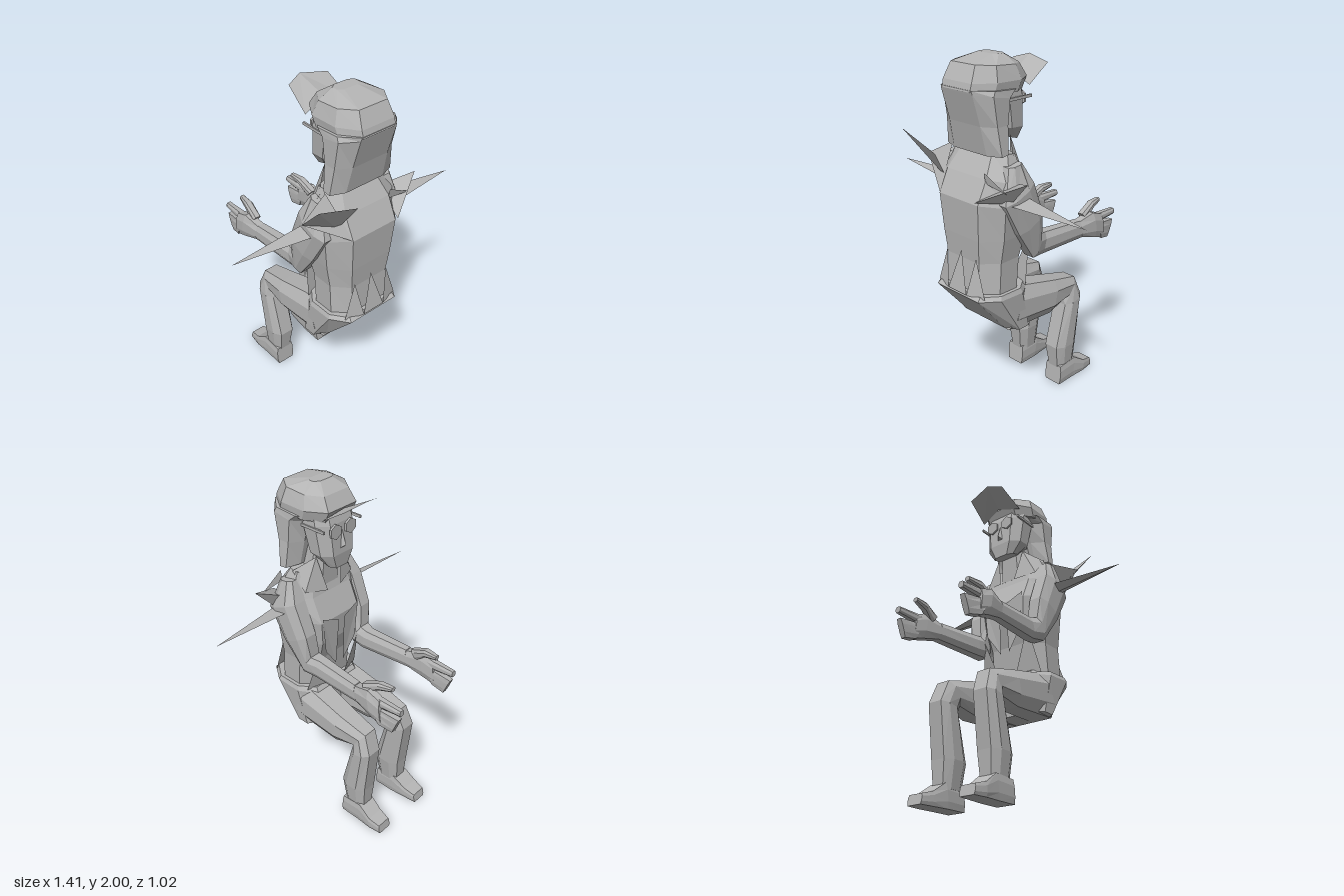
import * as THREE from 'three';

const grey = new THREE.MeshStandardMaterial({ color: 0xb4b4b4 });
grey.name = 'grey';
grey.flatShading = true;
grey.side = THREE.DoubleSide;

function meshFrom(name, tris) {
  const geo = new THREE.BufferGeometry();
  geo.setAttribute('position', new THREE.Float32BufferAttribute(tris.flat(2), 3));
  geo.computeVertexNormals();
  const mesh = new THREE.Mesh(geo, grey);
  mesh.name = name;
  return mesh;
}

// Capped loft through eight-sided rings [x0, x1, yA, zA, yB, zB]:
// A and B are the two edges of the ring in the side plane; k is the squareness.
function loft(name, rings, side = 1, k = 0.6) {
  const shape = [[-k, 0], [k, 0], [1, 0.28], [1, 0.72], [k, 1], [-k, 1], [-1, 0.72], [-1, 0.28]];
  const n = shape.length;
  const pts = rings.map(([x0, x1, ya, za, yb, zb]) => shape.map(([u, v]) => [
    side * ((x0 + x1) / 2 + u * (x1 - x0) / 2), ya + (yb - ya) * v, za + (zb - za) * v]));
  const tris = [];
  for (let r = 0; r + 1 < pts.length; r++) {
    for (let i = 0; i < n; i++) {
      const j = (i + 1) % n, a = pts[r], b = pts[r + 1];
      tris.push([a[i], a[j], b[j]], [a[i], b[j], b[i]]);
    }
  }
  const end = pts[pts.length - 1];
  for (let i = 1; i + 1 < n; i++) {
    tris.push([pts[0][0], pts[0][i + 1], pts[0][i]], [end[0], end[i], end[i + 1]]);
  }
  // Turn the faces outward
  let volume = 0;
  for (const [a, b, c] of tris) {
    volume += new THREE.Vector3(...a).dot(new THREE.Vector3(...b).cross(new THREE.Vector3(...c)));
  }
  if (volume < 0) tris.forEach((t) => t.reverse());
  return meshFrom(name, tris);
}

// Thin open sheet, a fan around the first point
function sheet(name, points) {
  const tris = [];
  for (let i = 1; i + 1 < points.length; i++) tris.push([points[0], points[i], points[i + 1]]);
  return meshFrom(name, tris);
}

// Spike: a base triangle drawn out to a tip
function spike(name, [a, b, c], tip) {
  return meshFrom(name, [[a, b, tip], [b, c, tip], [c, a, tip]]);
}

export function createModel() {
  const model = new THREE.Group();
  model.name = 'seatedFigure';

  // Trunk
  model.add(loft('torso', [
    [-0.2, 0.2, 0.78, 0.19, 0.78, 0.47],
    [-0.2, 0.2, 0.97, 0.17, 0.97, 0.46],
    [-0.22, 0.22, 1.1, 0.13, 1.1, 0.47],
    [-0.24, 0.24, 1.24, 0.12, 1.3, 0.48],
    [-0.24, 0.24, 1.38, 0.18, 1.42, 0.42],
    [-0.18, 0.18, 1.52, 0.22, 1.54, 0.34],
  ]));
  model.add(loft('pelvis', [
    [-0.22, 0.22, 0.54, 0.15, 0.54, 0.31],
    [-0.23, 0.23, 0.76, 0.15, 0.78, 0.51],
    [-0.22, 0.22, 0.79, 0.17, 0.8, 0.49],
  ], 1, 0.7));
  model.add(loft('neck', [
    [-0.1, 0.1, 1.42, 0.19, 1.5, 0.35],
    [-0.08, 0.08, 1.66, 0.18, 1.66, 0.33],
  ]));

  // Head
  model.add(loft('face', [
    [-0.07, 0.07, 1.55, 0.1, 1.58, 0.2],
    [-0.12, 0.12, 1.63, 0.09, 1.64, 0.26],
    [-0.135, 0.135, 1.8, 0.1, 1.8, 0.3],
    [-0.13, 0.13, 1.87, 0.12, 1.87, 0.3],
  ]));
  model.add(spike('nose', [[-0.02, 1.66, 0.095], [0.02, 1.66, 0.095], [0, 1.77, 0.1]], [0, 1.68, 0.07]));
  model.add(loft('hair', [
    [-0.2, 0.2, 1.54, 0.29, 1.53, 0.39],
    [-0.185, 0.185, 1.68, 0.26, 1.68, 0.42],
    [-0.185, 0.185, 1.8, 0.22, 1.84, 0.465],
    [-0.18, 0.18, 1.84, 0.16, 1.86, 0.47],
  ]));
  model.add(loft('cap', [
    [-0.165, 0.165, 1.82, 0.12, 1.85, 0.47],
    [-0.17, 0.17, 1.88, 0.09, 1.89, 0.46],
    [-0.145, 0.145, 1.95, 0.13, 1.97, 0.42],
    [-0.07, 0.07, 2.0, 0.2, 2.0, 0.27],
  ]));
  model.add(sheet('capBrim', [
    [-0.03, 1.955, -0.07], [0.125, 1.93, -0.04], [0.14, 1.84, 0.11],
    [0, 1.88, 0.08], [-0.14, 1.84, 0.11], [-0.12, 1.93, -0.04],
  ]));

  for (const s of [1, -1]) {
    const side = s > 0 ? 'left' : 'right';

    // Glasses
    const lens = new THREE.Mesh(new THREE.CylinderGeometry(0.042, 0.042, 0.012, 6), grey);
    lens.name = side + 'Lens';
    lens.rotation.x = Math.PI / 2;
    lens.position.set(s * 0.055, 1.765, 0.09);
    const temple = new THREE.Mesh(new THREE.BoxGeometry(0.01, 0.015, 0.16), grey);
    temple.name = side + 'GlassesArm';
    temple.position.set(s * 0.135, 1.785, 0.17);
    model.add(lens, temple);

    // Leg and shoe
    model.add(loft(side + 'Leg', [
      [0.01, 0.225, 0.78, 0.22, 0.54, 0.31],
      [0.05, 0.225, 0.715, -0.05, 0.52, -0.01],
      [0.07, 0.21, 0.67, -0.23, 0.55, -0.14],
      [0.08, 0.225, 0.55, -0.275, 0.52, -0.14],
      [0.08, 0.225, 0.25, -0.24, 0.25, -0.07],
      [0.1, 0.21, 0.1, -0.23, 0.1, -0.09],
    ], s));
    model.add(loft(side + 'Shoe', [
      [0.1, 0.22, 0.12, -0.09, 0, -0.08],
      [0.1, 0.22, 0.13, -0.22, 0, -0.2],
      [0.11, 0.225, 0.075, -0.3, 0, -0.3],
      [0.12, 0.215, 0.055, -0.37, 0, -0.38],
    ], s, 0.9));

    // Arm and hand
    model.add(loft(side + 'Arm', [
      [0.15, 0.24, 1.49, 0.25, 1.48, 0.34],
      [0.16, 0.285, 1.38, 0.2, 1.3, 0.4],
      [0.16, 0.28, 1.2, 0.13, 1.12, 0.3],
      [0.15, 0.26, 1.07, 0.12, 0.95, 0.18],
      [0.15, 0.24, 1.06, 0.07, 0.94, 0.1],
      [0.18, 0.25, 1.045, -0.2, 0.94, -0.22],
    ], s));
    model.add(loft(side + 'Hand', [
      [0.18, 0.25, 1.04, -0.2, 0.94, -0.22],
      [0.19, 0.265, 1.07, -0.3, 0.91, -0.33],
      [0.2, 0.26, 1.04, -0.38, 0.89, -0.4],
    ], s));
    model.add(loft(side + 'Forefinger', [
      [0.2, 0.25, 1.045, -0.34, 0.99, -0.34],
      [0.205, 0.24, 1.035, -0.51, 1.0, -0.51],
    ], s));
    model.add(loft(side + 'Fingers', [
      [0.2, 0.26, 0.99, -0.34, 0.89, -0.38],
      [0.205, 0.24, 0.97, -0.5, 0.87, -0.46],
    ], s, 0.8));
    model.add(loft(side + 'Thumb', [
      [0.18, 0.23, 1.07, -0.24, 1.02, -0.28],
      [0.17, 0.22, 1.115, -0.34, 1.07, -0.34],
      [0.17, 0.2, 1.115, -0.42, 1.09, -0.42],
    ], s));

    // Jacket lapel, hem points and collar
    model.add(sheet(side + 'Lapel', [
      [s * 0.14, 1.27, 0.115], [s * 0.02, 1.22, 0.11], [s * 0.03, 0.92, 0.13], [s * 0.12, 1.05, 0.12],
    ]));
    model.add(sheet(side + 'FrontHem', [[s * 0.16, 1.05, 0.13], [s * 0.06, 0.79, 0.155], [s * 0.2, 0.78, 0.2]]));
    model.add(sheet(side + 'BackHem', [[s * 0.11, 1, 0.47], [s * 0.07, 0.79, 0.51], [s * 0.18, 0.79, 0.48]]));
    model.add(sheet(side + 'Collar', [
      [s * 0.09, 1.6, 0.2], [s * 0.19, 1.53, 0.28], [s * 0.18, 1.42, 0.2], [s * 0.05, 1.4, 0.16],
    ]));
  }
  model.add(sheet('middleBackHem', [[0, 1.02, 0.47], [-0.07, 0.79, 0.51], [0.07, 0.79, 0.51]]));

  // Long side spikes
  model.add(spike('rightLongSpike', [[-0.22, 1.33, 0.24], [-0.22, 1.29, 0.29], [-0.26, 1.3, 0.33]], [-0.71, 1.31, 0.26]));
  model.add(spike('leftLongSpike', [[0.24, 1.32, 0.25], [0.24, 1.29, 0.31], [0.27, 1.3, 0.37]], [0.7, 1.29, 0.32]));

  // Torn shoulder plates
  model.add(sheet('rightShoulderPlate', [
    [-0.39, 1.6, 0.51], [-0.37, 1.44, 0.36], [-0.18, 1.35, 0.4], [-0.14, 1.51, 0.5],
  ]));
  model.add(sheet('rightShoulderFold', [[-0.37, 1.44, 0.36], [-0.2, 1.53, 0.33], [-0.14, 1.3, 0.48]]));
  model.add(spike('leftShoulderSpike', [[0.2, 1.38, 0.28], [0.26, 1.31, 0.36], [0.14, 1.32, 0.5]], [0.38, 1.44, 0.37]));
  model.add(sheet('leftShoulderShard', [[0.14, 1.46, 0.43], [0.29, 1.38, 0.42], [0.14, 1.4, 0.42]]));
  model.add(sheet('rightShoulderShard', [[-0.17, 1.4, 0.22], [-0.28, 1.36, 0.25], [-0.2, 1.52, 0.3]]));
  return model;
}
